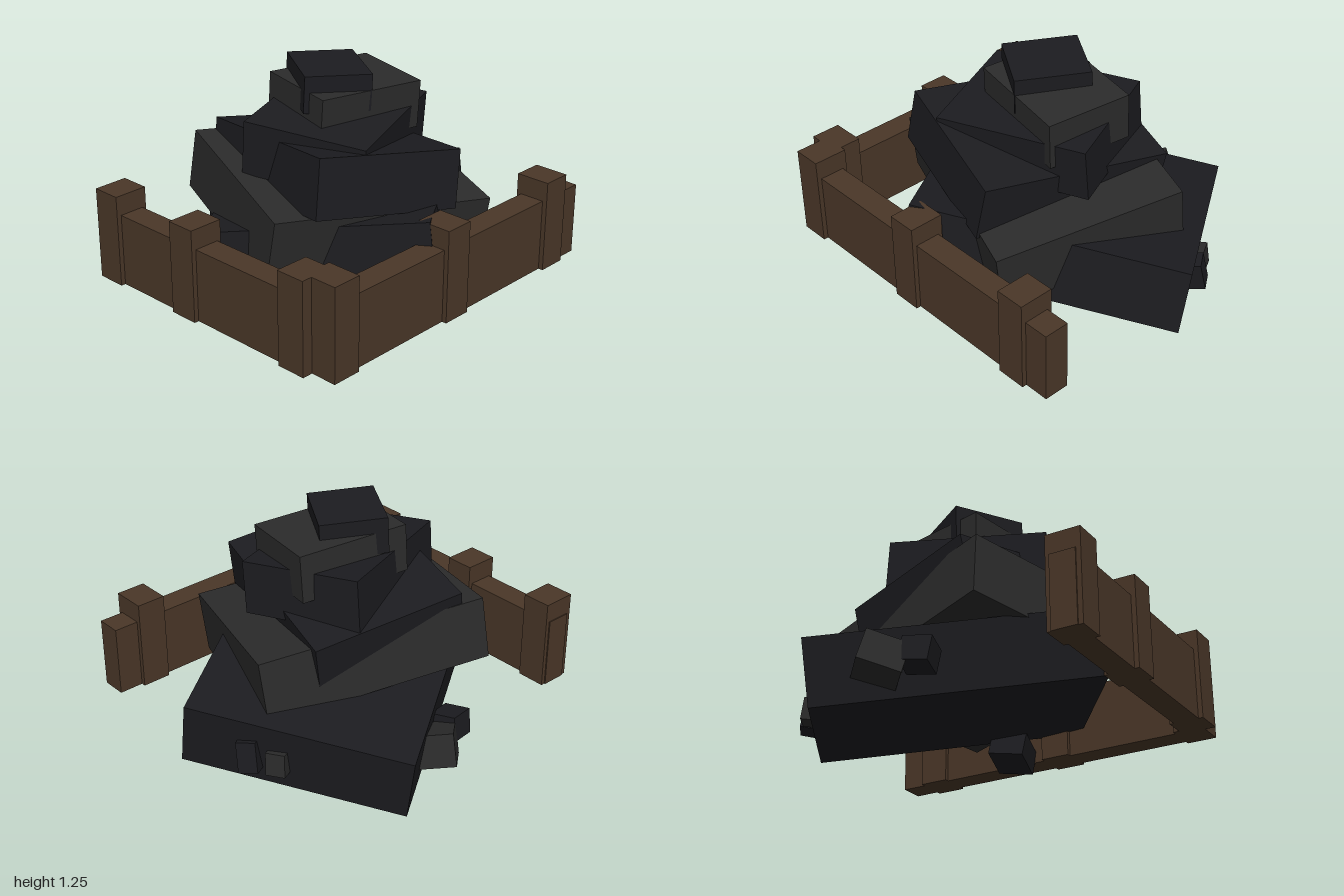
import * as THREE from 'three';

const mat = (color) => new THREE.MeshStandardMaterial({ color, flatShading: true });

export function createModel() {
  const model = new THREE.Group();
  const wood = mat(0x4a3728), dark = mat(0x1c1c20), grey = mat(0x2b2b2b);

  const add = (name, size, material, parent = model) => {
    const mesh = new THREE.Mesh(new THREE.BoxGeometry(...size), material);
    mesh.name = name;
    parent.add(mesh);
    return mesh;
  };

  // Tilted block given by three corners of its top face and a thickness
  const slab = (name, material, corner, endA, endB, thickness) => {
    const p = new THREE.Vector3(...corner);
    const a = new THREE.Vector3(...endA).sub(p), b = new THREE.Vector3(...endB).sub(p);
    const u = a.clone().normalize();
    const n = new THREE.Vector3().crossVectors(a, b).normalize();
    if (n.y < 0) n.negate();
    const w = new THREE.Vector3().crossVectors(u, n);
    const mesh = add(name, [a.length(), thickness, b.length()], material);
    mesh.quaternion.setFromRotationMatrix(new THREE.Matrix4().makeBasis(u, n, w));
    mesh.position.copy(p).addScaledVector(a, 0.5).addScaledVector(b, 0.5).addScaledVector(n, -thickness / 2);
  };

  // Heap of blocks, from the bottom up
  slab('baseBlock', dark, [0.36, 0.34, -0.91], [1.0, 0.485, 0.03], [-0.82, 0.52, -0.15], 0.345);
  slab('secondBlock', grey, [-0.4, 0.82, -0.59], [0.72, 0.71, -0.2], [-0.75, 0.7, 0.33], 0.325);
  slab('thirdBlock', dark, [-0.28, 0.87, -0.55], [0.49, 0.75, -0.34], [-0.56, 1.0, 0.43], 0.3);
  slab('fourthBlock', dark, [0.24, 1.06, -0.38], [0.46, 1.01, 0.22], [-0.52, 1.03, -0.1], 0.28);
  slab('fifthBlock', grey, [-0.2, 1.17, -0.25], [0.39, 1.15, -0.14], [-0.28, 1.15, 0.2], 0.25);
  slab('topBlock', dark, [-0.08, 1.245, -0.25], [0.21, 1.23, -0.07], [-0.28, 1.24, 0.08], 0.19);

  // Small lumps around the foot of the heap: material, size, position, rotation
  [
    [grey, [0.22, 0.17, 0.2], [0.03, 0.21, -0.73], [0.2, 0.75, 0.15]],
    [dark, [0.15, 0.13, 0.14], [-0.14, 0.23, -0.66], [0.15, 0.25, 0.1]],
    [dark, [0.13, 0.16, 0.1], [0.79, 0.25, -0.22], [0.15, 0.6, 0.1]],
    [grey, [0.11, 0.12, 0.1], [0.71, 0.23, -0.34], [0.05, 0.5, 0.1]],
    [dark, [0.19, 0.13, 0.22], [0.11, 0.2, 0.63], [0.2, 0.25, 0.1]],
  ].forEach(([material, size, position, rotation]) => {
    const lump = add('lump', size, material);
    lump.position.set(...position);
    lump.rotation.set(...rotation);
  });

  // Fence: one panel with three posts on each of two sides
  const fence = new THREE.Group();
  fence.name = 'fence';
  model.add(fence);
  const beam = (name, x0, x1, z0, z1, top) =>
    add(name, [x1 - x0, top - 0.17, z1 - z0], wood, fence)
      .position.set((x0 + x1) / 2, (top + 0.17) / 2, (z0 + z1) / 2);

  beam('frontPanel', -0.93, 0.89, 0.75, 0.885, 0.55);
  for (const x of [-0.865, -0.095, 0.678]) beam('frontPost', x - 0.079, x + 0.079, 0.725, 0.91, 0.655);
  beam('sidePanel', -0.975, -0.84, -0.68, 0.765, 0.55);
  for (const z of [-0.595, -0.04, 0.69]) beam('sidePost', -1, -0.818, z - 0.079, z + 0.079, 0.655);

  return model;
}
